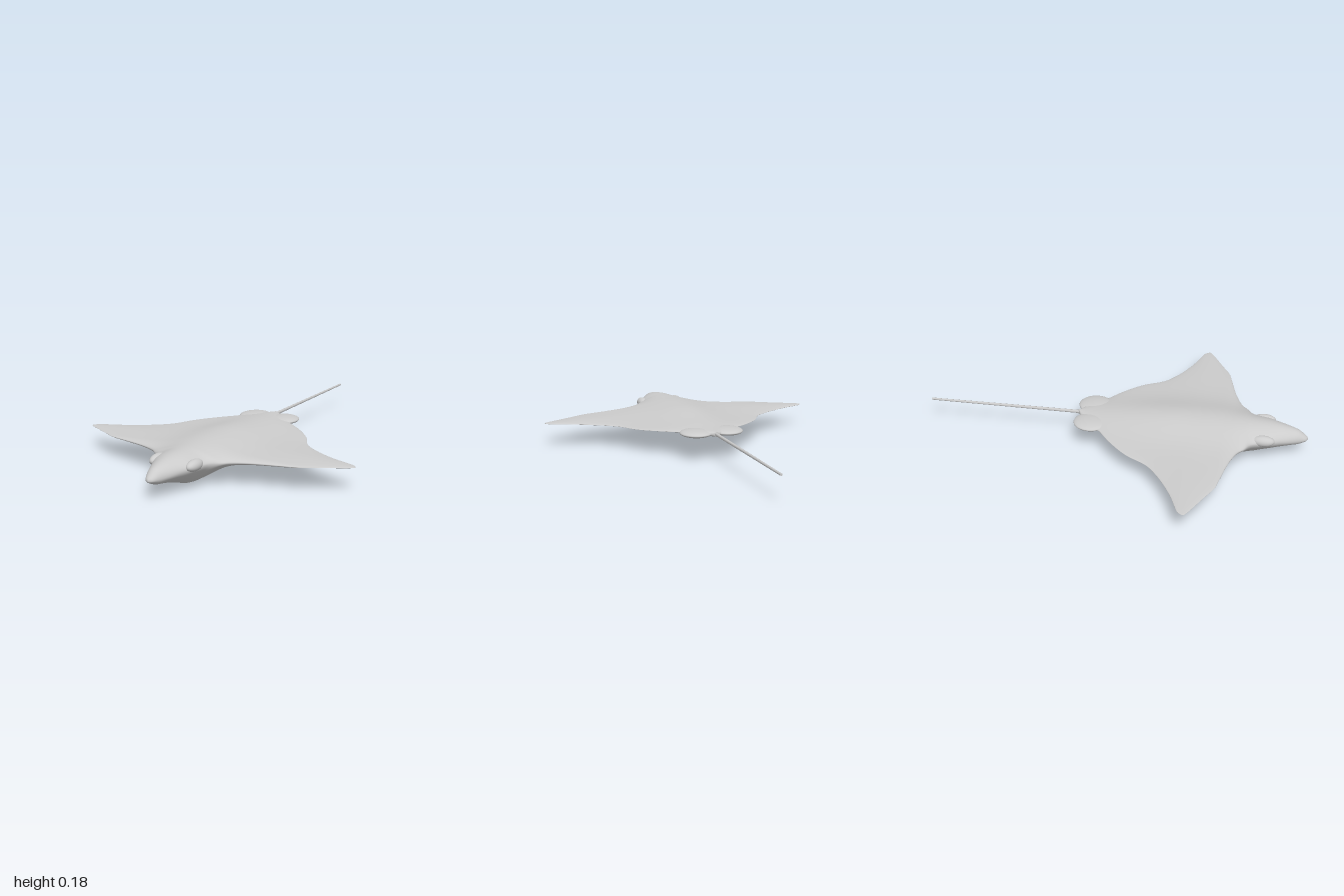
import * as THREE from 'three';

const material = new THREE.MeshStandardMaterial({ color: 0xcccccc });

// Disc outline, nose to tail root: [z, half width]
const OUTLINE = [
  [1, 0], [0.99, 0.018], [0.96, 0.036], [0.9, 0.064], [0.85, 0.085], [0.8, 0.11], [0.75, 0.125],
  [0.71, 0.142], [0.68, 0.185], [0.65, 0.22], [0.62, 0.29], [0.6, 0.36], [0.575, 0.47], [0.56, 0.53],
  [0.52, 0.605], [0.475, 0.69], [0.45, 0.735], [0.432, 0.757], [0.405, 0.74], [0.387, 0.7],
  [0.36, 0.63], [0.32, 0.55], [0.27, 0.47], [0.21, 0.4], [0.1, 0.335], [0, 0.24],
  [-0.06, 0.165], [-0.09, 0.135], [-0.14, 0.09], [-0.19, 0.02], [-0.2, 0],
];

// Centre-line heights every 0.1 from z = 1 to z = -0.2: [edge, back, belly]
const PROFILE = [
  [0.095, 0.125, 0.072], [0.105, 0.155, 0.06], [0.115, 0.172, 0.035], [0.118, 0.178, 0.005],
  [0.122, 0.182, 0.007], [0.122, 0.186, 0.025], [0.122, 0.187, 0.036], [0.122, 0.186, 0.045],
  [0.124, 0.18, 0.065], [0.127, 0.172, 0.092], [0.132, 0.165, 0.11], [0.137, 0.158, 0.12],
  [0.14, 0.153, 0.128],
];

function mesh(name, geometry) {
  const m = new THREE.Mesh(geometry, material);
  m.name = name;
  return m;
}

// Loft: a thick centre that fades into thin wings
function bodyGeometry() {
  const outline = new THREE.CatmullRomCurve3(OUTLINE.map(([z, w]) => new THREE.Vector3(w, 0, z)));
  const profile = new THREE.CatmullRomCurve3(
    PROFILE.map((p) => new THREE.Vector3(...p)), false, 'catmullrom', 0.5);
  const stations = outline.getPoints(120);
  const ring = 96;
  const positions = [];
  const index = [];

  stations.forEach((s, i) => {
    const z = Math.min(1, s.z);
    const w = Math.max(0, s.x);
    const h = profile.getPoint(THREE.MathUtils.clamp((1 - z) / 1.2, 0, 1));
    const nose = Math.min(1, Math.sqrt((1 - z) / 0.05));
    for (let j = 0; j < ring; j++) {
      const a = (j / ring) * Math.PI * 2;
      const x = w * Math.sin(a);
      const upper = Math.cos(a) >= 0;
      const wing = (upper ? 0.36 : 0.2) * (1 - 0.6 * Math.abs(x));
      const hump = Math.exp(-((x / (upper ? 0.17 : 0.145)) ** 2));
      const rise = (upper ? h.y : h.z) - h.x;
      const y = h.x + rise * nose * Math.abs(Math.cos(a)) * (wing + (1 - wing) * hump);
      positions.push(x, y, z);
      if (i < stations.length - 1) {
        const p = i * ring + j;
        const pn = i * ring + ((j + 1) % ring);
        index.push(p, pn, p + ring, pn, pn + ring, p + ring);
      }
    }
  });

  const g = new THREE.BufferGeometry();
  g.setAttribute('position', new THREE.Float32BufferAttribute(positions, 3));
  g.setIndex(index);
  g.computeVertexNormals();
  return g;
}

function ellipsoid(name, radii, position) {
  const m = mesh(name, new THREE.SphereGeometry(1, 32, 20));
  m.scale.set(...radii);
  m.position.set(...position);
  return m;
}

export function createModel() {
  const group = new THREE.Group();
  group.name = 'ray';
  group.add(mesh('body', bodyGeometry()));

  // Paired eye bulges and rear fin lobes
  for (const [side, s] of [['left', 1], ['right', -1]]) {
    group.add(ellipsoid(side + 'Eye', [0.03, 0.028, 0.06], [s * 0.101, 0.125, 0.77]));
    group.add(ellipsoid(side + 'PelvicFin', [0.084, 0.019, 0.09], [s * 0.084, 0.138, -0.12]));
  }

  // Whip tail, slightly tapered
  const tail = mesh('tail', new THREE.CylinderGeometry(0.009, 0.006, 0.9, 8));
  tail.rotation.x = Math.PI / 2;
  tail.position.set(0, 0.14, -0.55);
  group.add(tail);
  return group;
}
